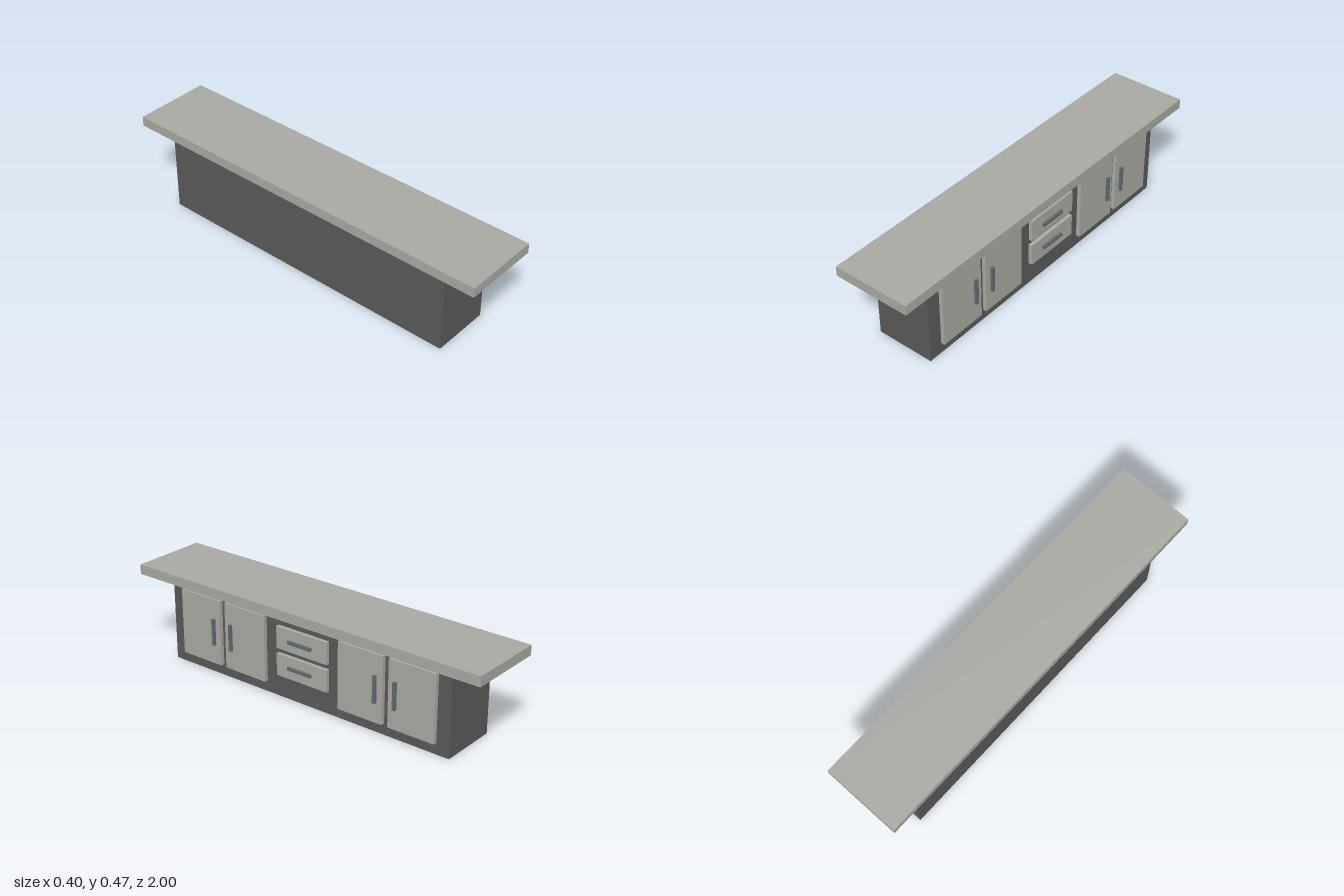
import * as THREE from 'three';

export function createModel() {
  const group = new THREE.Group();
  const stone = new THREE.MeshStandardMaterial({ color: 0xa9a9a3 });
  const dark = new THREE.MeshStandardMaterial({ color: 0x595959 });
  const metal = new THREE.MeshStandardMaterial({ color: 0x5f6b6e });

  // Box spanning [min, max] on each axis
  function box(name, material, [x0, x1], [y0, y1], [z0, z1]) {
    const mesh = new THREE.Mesh(new THREE.BoxGeometry(x1 - x0, y1 - y0, z1 - z0), material);
    mesh.position.set((x0 + x1) / 2, (y0 + y1) / 2, (z0 + z1) / 2);
    mesh.name = name;
    group.add(mesh);
  }

  const panelX = [0.148, 0.168];
  const handleX = [0.168, 0.181];

  // Carcass and overhanging worktop
  box('cabinetBody', dark, [-0.155, 0.148], [0, 0.423], [-0.83, 0.82]);
  box('worktop', stone, [-0.2, 0.2], [0.423, 0.473], [-1, 1]);

  // Two pairs of doors, each with an upright handle near the meeting edge
  for (const [pair, centre] of [['left', -0.494], ['right', 0.481]]) {
    for (const side of [-1, 1]) {
      const span = (a, b) => [centre + side * a, centre + side * b].sort((p, q) => p - q);
      const which = pair + (side < 0 ? 'Rear' : 'Front');
      box(which + 'Door', stone, panelX, [0.057, 0.397], span(0.016, 0.267));
      box(which + 'DoorHandle', metal, handleX, [0.158, 0.295], span(0.047, 0.063));
    }
  }

  // Two stacked drawers with level handles
  for (const [name, bottom] of [['lower', 0.118], ['upper', 0.258]]) {
    const mid = bottom + (name === 'upper' ? 0.052 : 0.058);
    box(name + 'Drawer', stone, panelX, [bottom, bottom + 0.112], [-0.162, 0.138]);
    box(name + 'DrawerHandle', metal, handleX, [mid - 0.008, mid + 0.008], [-0.073, 0.063]);
  }

  return group;
}
